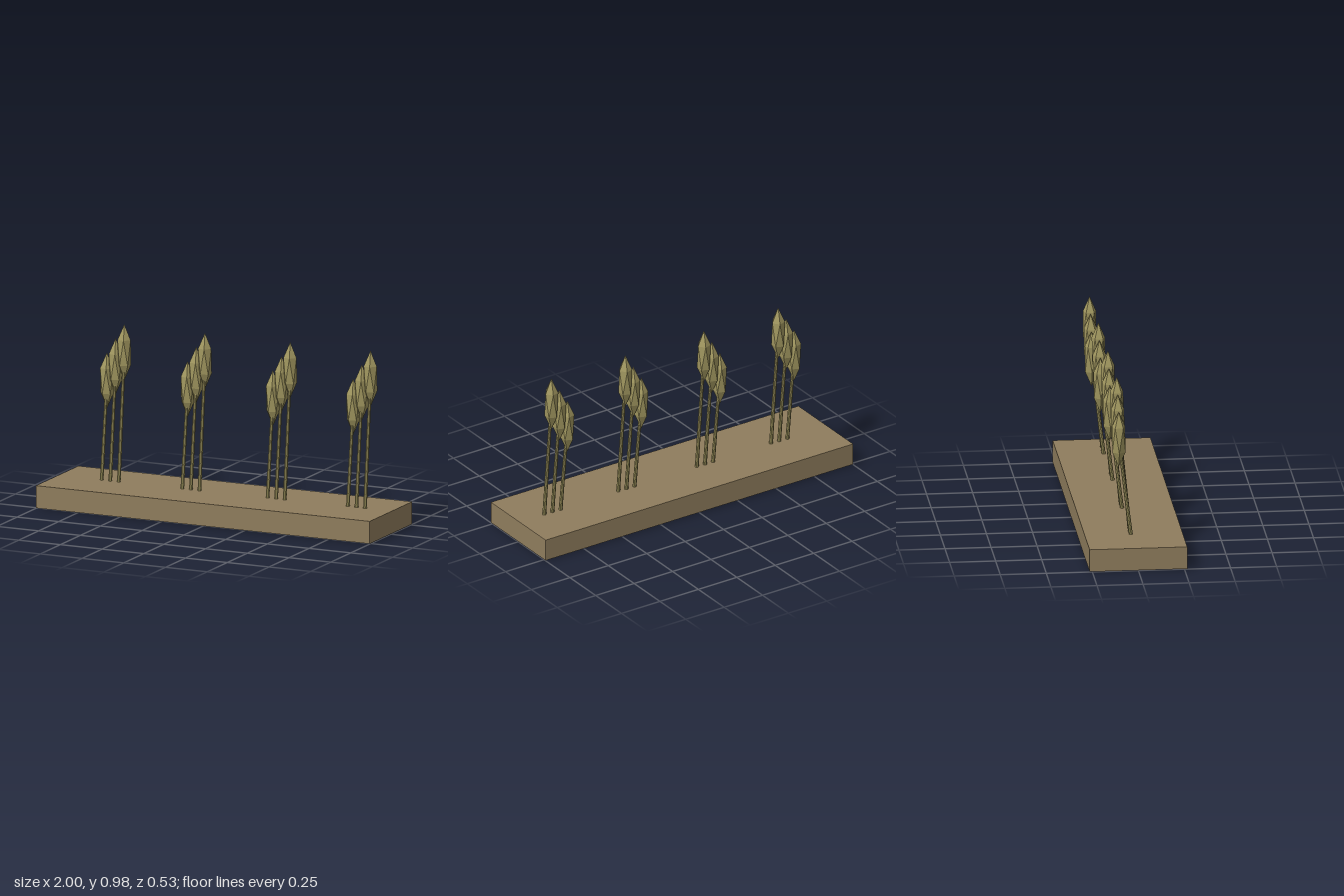
import * as THREE from 'three';

export function createModel() {
  const model = new THREE.Group();
  const earth = new THREE.MeshStandardMaterial({ color: 0x8f7d5d });
  earth.name = 'earth brown';
  const straw = new THREE.MeshStandardMaterial({ color: 0xa0965f, flatShading: true });
  straw.name = 'straw olive';

  // Soil slab
  const base = new THREE.Mesh(new THREE.BoxGeometry(2, 0.124, 0.53), earth);
  base.name = 'base';
  base.position.y = 0.064;
  model.add(base);

  // Seed head: stretched 12-point solid, poles up and down, two offset rings of five
  const ring = (y, turn) => Array.from({ length: 5 }, (_, i) => {
    const a = turn + (i * Math.PI * 2) / 5;
    return [0.0375 * Math.cos(a), y, 0.0375 * Math.sin(a)];
  });
  const points = [[0, 0.155, 0], ...ring(0.07, 0), ...ring(-0.07, Math.PI / 5), [0, -0.155, 0]];
  const faces = [];
  for (let i = 0; i < 5; i++) {
    const j = (i + 1) % 5;
    const u = 1 + i, v = 1 + j, l = 6 + i, m = 6 + j;
    faces.push(0, v, u, u, v, l, v, m, l, l, m, 11);
  }
  const headGeometry = new THREE.BufferGeometry();
  headGeometry.setAttribute('position', new THREE.Float32BufferAttribute(points.flat(), 3));
  headGeometry.setIndex(faces);
  headGeometry.computeVertexNormals();

  // Stalk leaning back from the ground to the middle of its head
  const up = new THREE.Vector3(0, 1, 0);
  function addStalk(group, x, headY) {
    const foot = new THREE.Vector3(x, 0.0015, 0);
    const tip = new THREE.Vector3(x, headY, -0.081);
    const lean = tip.clone().sub(foot);
    const stem = new THREE.Mesh(new THREE.CylinderGeometry(0.0085, 0.011, lean.length(), 8), straw);
    stem.name = 'stem';
    stem.position.copy(foot).lerp(tip, 0.5);
    stem.quaternion.setFromUnitVectors(up, lean.normalize());
    const head = new THREE.Mesh(headGeometry, straw);
    head.name = 'seedHead';
    head.position.copy(tip);
    group.add(stem, head);
  }

  // Four clumps of three stalks rising to the left
  [-0.688, -0.205, 0.306, 0.787].forEach((x) => {
    const clump = new THREE.Group();
    clump.name = 'clump';
    clump.position.x = x;
    for (let i = -1; i <= 1; i++) addStalk(clump, i * 0.052, 0.747 + i * 0.083);
    model.add(clump);
  });
  return model;
}
